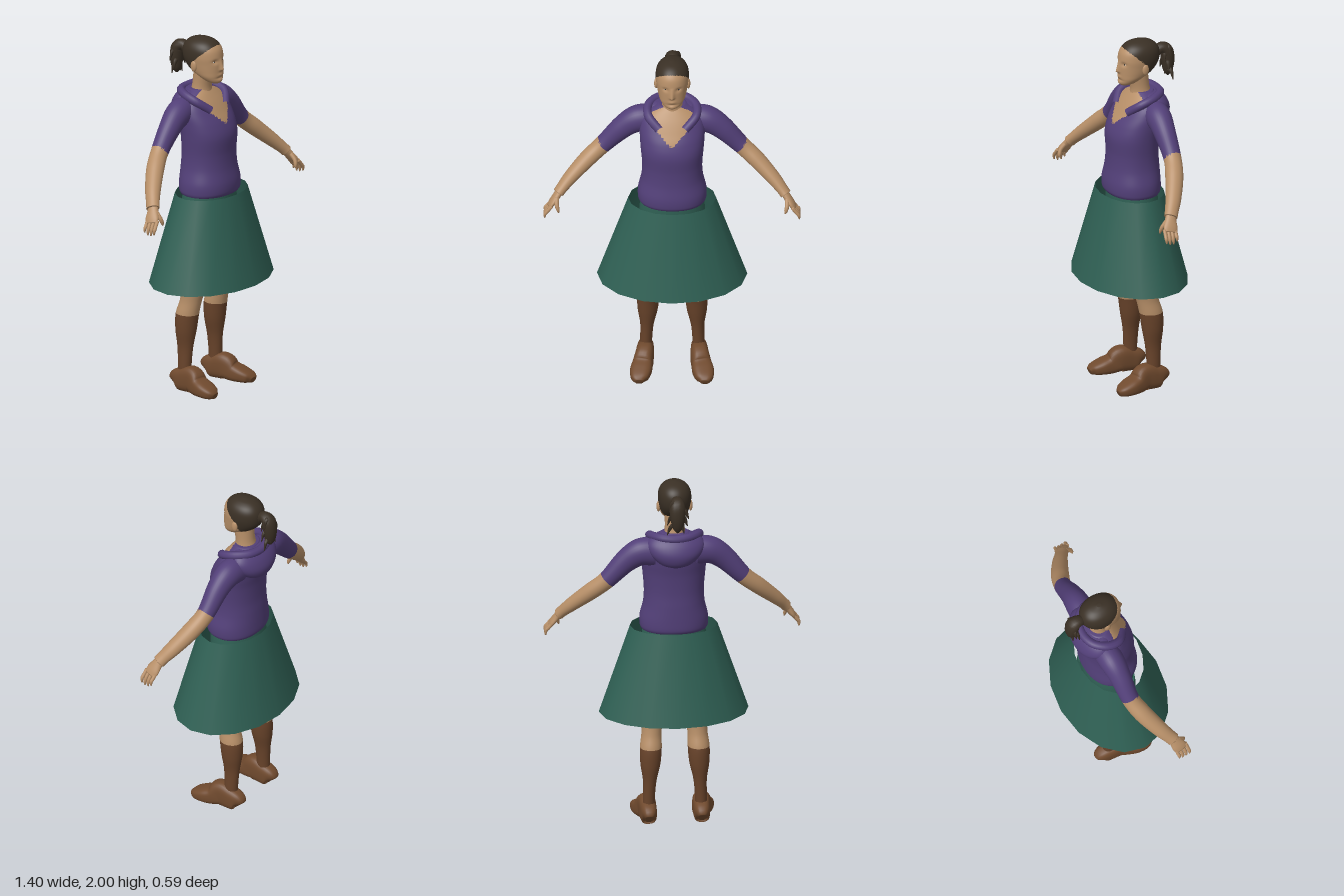
import * as THREE from 'three';

const paint = (name, color, side = THREE.FrontSide) => {
  const m = new THREE.MeshStandardMaterial({ color, side });
  m.name = name;
  return m;
};
const V = (x, y, z) => new THREE.Vector3(x, y, z);
const X = V(1, 0, 0), Y = V(0, 1, 0), Z = V(0, 0, 1);
const bell = (d, s) => Math.exp(-((d / s) ** 2));

// Smooth value between rows of numbers (Catmull-Rom)
function blend(rows, t) {
  const n = rows.length - 1, i = Math.min(Math.floor(t * n), n - 1), f = t * n - i;
  const at = k => rows[Math.max(0, Math.min(n, k))];
  const [a, b, c, d] = [at(i - 1), at(i), at(i + 1), at(i + 2)];
  return b.map((_, k) => b[k] + 0.5 * f * (c[k] - a[k] + f * (2 * a[k] - 5 * b[k] + 4 * c[k] - d[k]
    + f * (3 * (b[k] - c[k]) + d[k] - a[k]))));
}

// Closed skin over sections [x, y, z, radiusU, radiusV]; pick chooses a material per face
function loft(name, mats, sections, opt = {}) {
  const { ref = Z, flat = false, seg = 24, rows = 28, power = 1, deform, pick = () => 0 } = opt;
  const pos = [], mid = [];
  for (let i = 0; i <= rows; i++) {
    const t = i / rows, [x, y, z, ru, rv] = blend(sections, t);
    const p = blend(sections, Math.max(0, t - 0.01)), q = blend(sections, Math.min(1, t + 0.01));
    const dir = flat ? Y.clone() : V(q[0] - p[0], q[1] - p[1], q[2] - p[2]).normalize();
    const u = ref.clone().cross(dir).normalize(), v = dir.clone().cross(u);
    for (let j = 0; j < seg; j++) {
      const a = j / seg * Math.PI * 2, c = Math.cos(a), s = Math.sin(a);
      const w = V(x, y, z).addScaledVector(u, ru * Math.sign(c) * Math.abs(c) ** power)
        .addScaledVector(v, rv * Math.sign(s) * Math.abs(s) ** power);
      if (deform) deform(w);
      pos.push(w);
    }
    if (i === 0 || i === rows) mid.push(V(x, y, z));
  }
  const lists = mats.map(() => []);
  const face = (...f) => {
    const c = V(0, 0, 0);
    f.forEach(k => c.addScaledVector(pos[k], 1 / 3));
    lists[pick(c)].push(...f);
  };
  const end = pos.push(...mid) - 1, top = rows * seg;
  for (let j = 0; j < seg; j++) {
    const k = (j + 1) % seg;
    for (let i = 0; i < top; i += seg) {
      face(i + j, i + k, i + seg + k);
      face(i + j, i + seg + k, i + seg + j);
    }
    face(end - 1, k, j);
    face(end, top + j, top + k);
  }
  const g = new THREE.BufferGeometry().setFromPoints(pos);
  g.setIndex(lists.flat());
  let start = 0;
  lists.forEach((l, i) => { g.addGroup(start, l.length, i); start += l.length; });
  g.computeVertexNormals();
  const mesh = new THREE.Mesh(g, mats.length > 1 ? mats : mats[0]);
  mesh.name = name;
  return mesh;
}

export function createModel() {
  const skin = paint('skin', 0xb78f68), purple = paint('purple cloth', 0x523f78);
  const green = paint('green cloth', 0x2f6054, THREE.DoubleSide), hair = paint('dark hair', 0x3a3025);
  const sock = paint('brown sock', 0x68432a), leather = paint('brown leather', 0x704a2e);
  const white = paint('eye white', 0xd8d2c8), dark = paint('iris', 0x2a2018);
  const model = new THREE.Group();
  const add = (...p) => model.add(...p);
  const ball = (name, mat, p, s) => {
    const m = new THREE.Mesh(new THREE.SphereGeometry(1, 16, 12), mat);
    m.name = name;
    m.position.set(...p);
    m.scale.set(...s);
    add(m);
  };

  // Top with a V neck
  add(loft('torso', [purple, skin], [
    [0, 1.13, -.01, .18, .14], [0, 1.15, -.01, .187, .149], [0, 1.2, -.01, .186, .149],
    [0, 1.28, -.015, .168, .14], [0, 1.36, -.015, .164, .135], [0, 1.46, -.015, .172, .138],
    [0, 1.53, -.03, .177, .132], [0, 1.59, -.05, .178, .117], [0, 1.64, -.065, .165, .1],
    [0, 1.68, -.075, .125, .08], [0, 1.71, -.075, .07, .055],
  ], {
    flat: true, seg: 80, rows: 80, power: .92,
    pick: c => (c.z > -.03 && Math.abs(c.x) < (c.y - 1.525) * 1.05 ? 1 : 0),
  }));

  // Hood lying on the back, and its rolled collar
  add(loft('hood', [purple], [
    [0, 1.525, -.145, .03, .02], [0, 1.55, -.145, .09, .06], [0, 1.6, -.135, .14, .085],
    [0, 1.65, -.115, .16, .09], [0, 1.69, -.105, .135, .07], [0, 1.705, -.1, .09, .045],
  ], { flat: true, seg: 40 }));
  const half = [[.07, 1.61, .045], [.13, 1.665, -.01], [.13, 1.69, -.08], [.08, 1.698, -.145]];
  const rim = [...half.map(p => V(...p)), V(0, 1.695, -.165), ...half.map(([x, y, z]) => V(-x, y, z)).reverse()];
  const collar = new THREE.Mesh(new THREE.TubeGeometry(new THREE.CatmullRomCurve3(rim), 48, .024, 10), purple);
  collar.name = 'collar';
  add(collar);

  // Neck and head with the hair as part of its surface
  add(loft('neck', [skin], [
    [0, 1.64, -.06, .085, .065], [0, 1.69, -.065, .062, .058], [0, 1.74, -.06, .054, .053], [0, 1.83, -.045, .056, .06],
  ], { flat: true }));
  add(loft('head', [skin, hair], [
    [0, 1.752, .025, .025, .028], [0, 1.765, .014, .047, .048], [0, 1.79, -.005, .067, .069],
    [0, 1.82, -.03, .078, .095], [0, 1.86, -.048, .086, .113], [0, 1.9, -.055, .091, .118],
    [0, 1.94, -.058, .087, .112], [0, 1.97, -.06, .071, .091], [0, 1.99, -.06, .043, .058], [0, 2, -.06, .01, .012],
  ], {
    flat: true, seg: 112, rows: 90, power: .95,
    deform: w => {
      if (w.z < 0) return;
      const x = Math.abs(w.x), y = w.y;
      const nose = y < 1.835 ? bell(y - 1.835, .009) : Math.max(0, 1 - (y - 1.835) / .06);
      w.z += .019 * nose * bell(x, .012) + .005 * bell(x, .02) * bell(y - 1.803, .009)
        + .005 * bell(x, .02) * bell(y - 1.768, .012) - .009 * bell(x - .036, .016) * bell(y - 1.88, .012)
        - .004 * bell(x, .03) * bell(y - 1.785, .006);
    },
    pick: c => (c.z < -.055 + (c.y < 1.88 ? (c.y - 1.88) * .35 : (c.y - 1.88) * 1.1) ? 1 : 0),
  }));

  // Ponytail with loose tufts
  add(loft('ponytail', [hair], [
    [0, 1.89, -.15, .025, .025], [0, 1.925, -.185, .03, .032], [0, 1.91, -.222, .036, .042],
    [0, 1.85, -.232, .036, .042], [0, 1.79, -.232, .026, .028], [0, 1.76, -.232, .006, .006],
  ], { ref: X, seg: 14 }));
  for (let i = 0; i < 14; i++) {
    const a = i * 2.4, y = 1.935 - i * .01, r = .03 + .012 * Math.sin(i * 5);
    const x = Math.cos(a), z = Math.sin(a);
    add(loft('hairTuft', [hair], [
      [x * .015, y, -.222 + z * .01, .014, .014], [x * r, y - .01, -.227 + z * r * .8, .014, .01],
      [x * r * 1.5, y - .055, -.228 + z * r, .002, .002],
    ], { ref: V(.3, .2, 1), seg: 6, rows: 8 }));
  }

  // Skirt: open oval cone
  const skirtShape = new THREE.CylinderGeometry(.24, .41, .5, 16, 1, true);
  skirtShape.scale(1, 1, .725).translate(0, .885, 0);
  const skirt = new THREE.Mesh(skirtShape, green);
  skirt.name = 'skirt';
  add(skirt);
  add(loft('shortsSeat', [green], [
    [0, .86, -.015, .13, .08], [0, .93, -.015, .18, .125], [0, 1.05, -.015, .18, .135], [0, 1.14, -.01, .17, .13],
  ], { flat: true }));

  for (const s of [1, -1]) {
    const side = s > 0 ? 'left' : 'right';
    const flip = rows => rows.map(([x, ...r]) => [s * x, ...r]);
    const part = (name, mats, rows, opt) => add(loft(side + name, mats, flip(rows), opt));

    // Eyes and ears
    ball(side + 'Eye', white, [s * .036, 1.879, .037], [.012, .0055, .013]);
    ball(side + 'Iris', dark, [s * .036, 1.879, .046], [.005, .005, .005]);
    ball(side + 'Ear', skin, [s * .088, 1.85, -.055], [.011, .031, .019]);

    // Arm with a short sleeve
    part('Arm', [purple, skin], [
      [.11, 1.6, -.09, .08, .07], [.19, 1.597, -.085, .076, .07], [.27, 1.545, -.08, .064, .06],
      [.375, 1.435, -.075, .049, .049], [.46, 1.36, -.045, .046, .05], [.55, 1.275, .005, .038, .044],
      [.6, 1.222, .04, .031, .038], [.62, 1.198, .055, .03, .038],
    ], { seg: 32, rows: 64, pick: c => (s * c.x * .76 - c.y * .65 < -.649 ? 0 : 1) });

    // Hand
    part('Palm', [skin], [
      [.605, 1.215, .045, .022, .03], [.628, 1.185, .06, .02, .032], [.652, 1.152, .072, .017, .04], [.668, 1.128, .08, .012, .037],
    ], { rows: 14 });
    for (let i = 0; i < 4; i++) {
      const z = .048 + i * .021, drop = [.012, 0, 0, .008][i];
      part('Finger', [skin], [
        [.655, 1.145, z, .01, .01], [.68, 1.115, z + .004, .01, .01],
        [.692, 1.09 + drop, z + .006, .009, .009], [.694, 1.068 + drop, z + .004, .004, .004],
      ], { seg: 10, rows: 12 });
    }
    part('Thumb', [skin], [
      [.628, 1.185, .08, .014, .014], [.628, 1.155, .108, .012, .012], [.622, 1.13, .118, .01, .01], [.618, 1.112, .12, .004, .004],
    ], { seg: 10, rows: 12 });

    // Shorts leg with a turned cuff
    part('ShortsLeg', [green], [
      [.112, .63, -.025, .076, .09], [.112, .72, -.02, .08, .1], [.105, .85, -.015, .09, .115], [.095, .97, -.015, .085, .115],
    ], { flat: true });
    part('ShortsCuff', [green], [
      [.116, .605, -.025, .076, .092], [.116, .612, -.025, .082, .099], [.116, .65, -.025, .082, .099], [.115, .66, -.025, .074, .09],
    ], { flat: true });

    // Leg with a knee sock
    part('Leg', [skin, sock], [
      [.142, .06, -.075, .034, .04], [.143, .14, -.075, .033, .039], [.138, .25, -.075, .037, .046],
      [.134, .35, -.073, .055, .06], [.131, .44, -.066, .06, .066], [.126, .52, -.046, .055, .063],
      [.12, .6, -.03, .062, .07], [.112, .7, -.025, .07, .078],
    ], { flat: true, rows: 64, pick: c => (c.y < .445 ? 1 : 0) });

    // Shoe
    part('Shoe', [leather], [
      [.145, .045, -.137, .02, .035], [.145, .06, -.12, .041, .057], [.147, .069, -.07, .047, .067],
      [.15, .076, -.015, .05, .074], [.16, .053, .03, .055, .053], [.17, .042, .08, .059, .042],
      [.178, .03, .13, .047, .03], [.178, .02, .155, .022, .017],
    ], { ref: Y, seg: 32, rows: 40, power: .7, deform: w => { w.y = Math.max(0, w.y); } });
  }
  return model;
}
